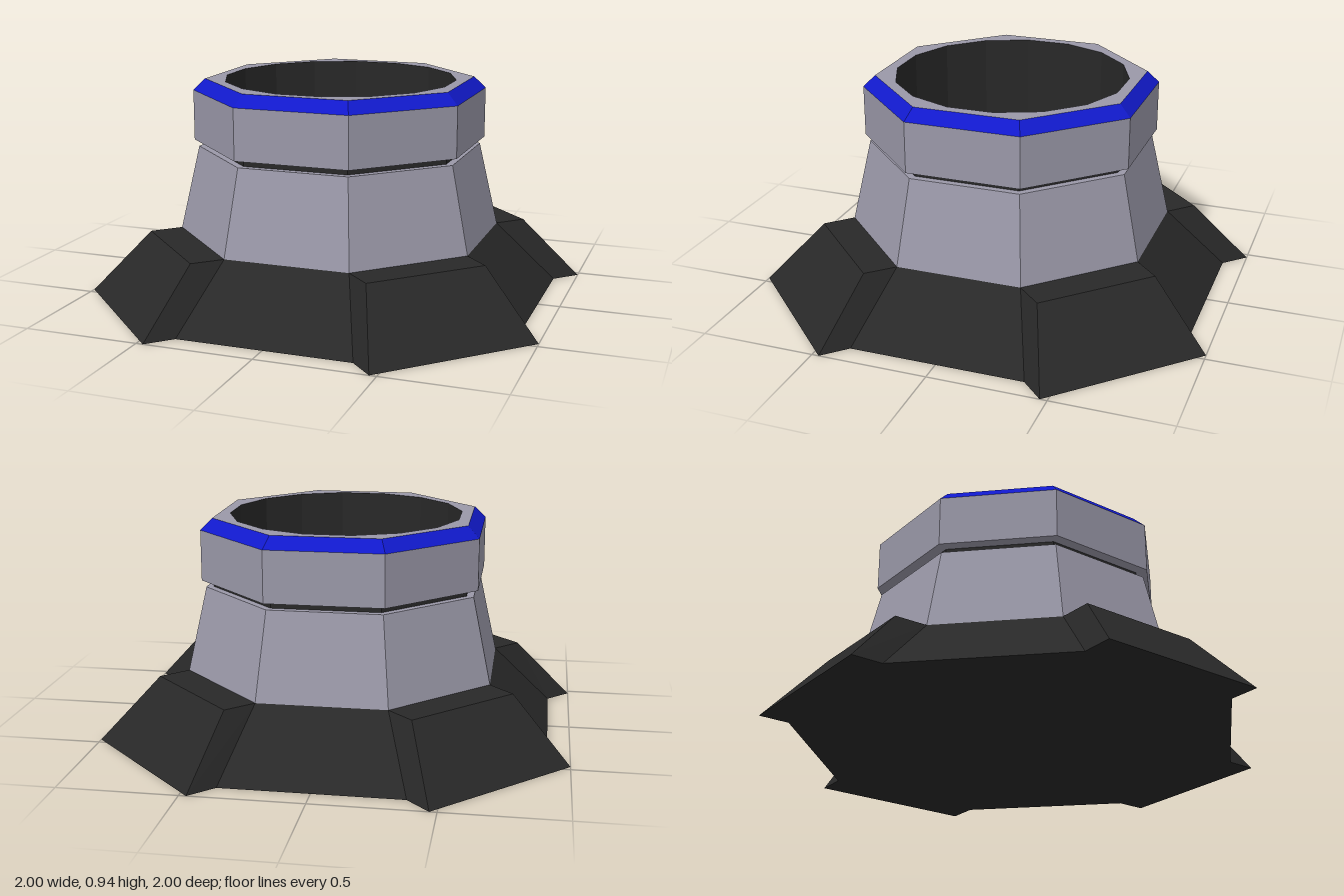
import * as THREE from 'three';

const paint = (color) => new THREE.MeshStandardMaterial({ color, flatShading: true });
const DARK = paint(0x282828), GREY = paint(0x9a98a8), BLUE = paint(0x1119cc);

// Circumradius of a regular polygon from its apothem
const circum = (apothem, sides) => apothem / Math.cos(Math.PI / sides);

// Faceted ring turned from [apothem, y] points, with flats facing the axes
function ring(name, profile, material, sides = 8) {
  const pts = profile.map(([a, y]) => new THREE.Vector2(circum(a, sides), y));
  const mesh = new THREE.Mesh(new THREE.LatheGeometry(pts, sides, Math.PI / sides), material);
  mesh.name = name;
  return mesh;
}

// Corner points of a regular polygon with flats facing the axes
function polygon(apothem, sides) {
  const r = circum(apothem, sides);
  return Array.from({ length: sides }, (_, i) => {
    const t = ((i + 0.5) / sides) * Math.PI * 2;
    return new THREE.Vector2(r * Math.cos(t), r * Math.sin(t));
  });
}

// Repeat one quadrant of [x, z] points around the y axis
function fourfold(quadrant, y) {
  const out = [];
  for (let q = 0; q < 4; q++) {
    for (const [px, pz] of quadrant) {
      let x = px, z = pz;
      for (let k = 0; k < q; k++) [x, z] = [z, -x];
      out.push([x, y, z]);
    }
  }
  return out;
}

// Sloped skirt with four raised corner buttresses
function skirt() {
  const low = fourfold([[0.375, 0.905], [0.47, 1], [1, 0.47], [0.905, 0.375]], 0);
  const high = fourfold([[0.271, 0.655], [0.375, 0.755], [0.755, 0.375], [0.655, 0.271]], 0.27);
  const pos = [];
  const tri = (...corners) => corners.forEach((c) => pos.push(...c));
  low.forEach((a, i) => {
    const j = (i + 1) % low.length;
    const b = low[j], c = high[j], d = high[i];
    tri(a, b, c);
    tri(a, c, d);
    tri([0, 0.27, 0], d, c);
    tri([0, 0, 0], b, a);
  });
  const geo = new THREE.BufferGeometry();
  geo.setAttribute('position', new THREE.Float32BufferAttribute(pos, 3));
  geo.computeVertexNormals();
  const mesh = new THREE.Mesh(geo, DARK);
  mesh.name = 'baseSkirt';
  return mesh;
}

// Flat octagonal rim around the round opening
function rim() {
  const shape = new THREE.Shape(polygon(0.545, 8));
  shape.holes.push(new THREE.Path(polygon(0.497, 16)));
  const mesh = new THREE.Mesh(new THREE.ShapeGeometry(shape).rotateX(-Math.PI / 2), GREY);
  mesh.position.y = 0.94;
  mesh.name = 'topRim';
  return mesh;
}

export function createModel() {
  const group = new THREE.Group();
  group.name = 'octagonalPedestal';
  group.add(
    skirt(),
    ring('taperedBody', [[0.655, 0.27], [0.575, 0.64], [0.54, 0.64]], GREY),
    ring('neckGroove', [[0.545, 0.63], [0.545, 0.68]], DARK),
    ring('collar', [[0.54, 0.67], [0.593, 0.67], [0.593, 0.89]], GREY),
    ring('bevelBand', [[0.593, 0.89], [0.545, 0.94]], BLUE),
    rim(),
    // Inward-facing wall of the opening; the skirt's top forms its floor
    ring('boreWall', [[0.497, 0.94], [0.497, 0.27]], DARK, 16),
  );
  return group;
}
